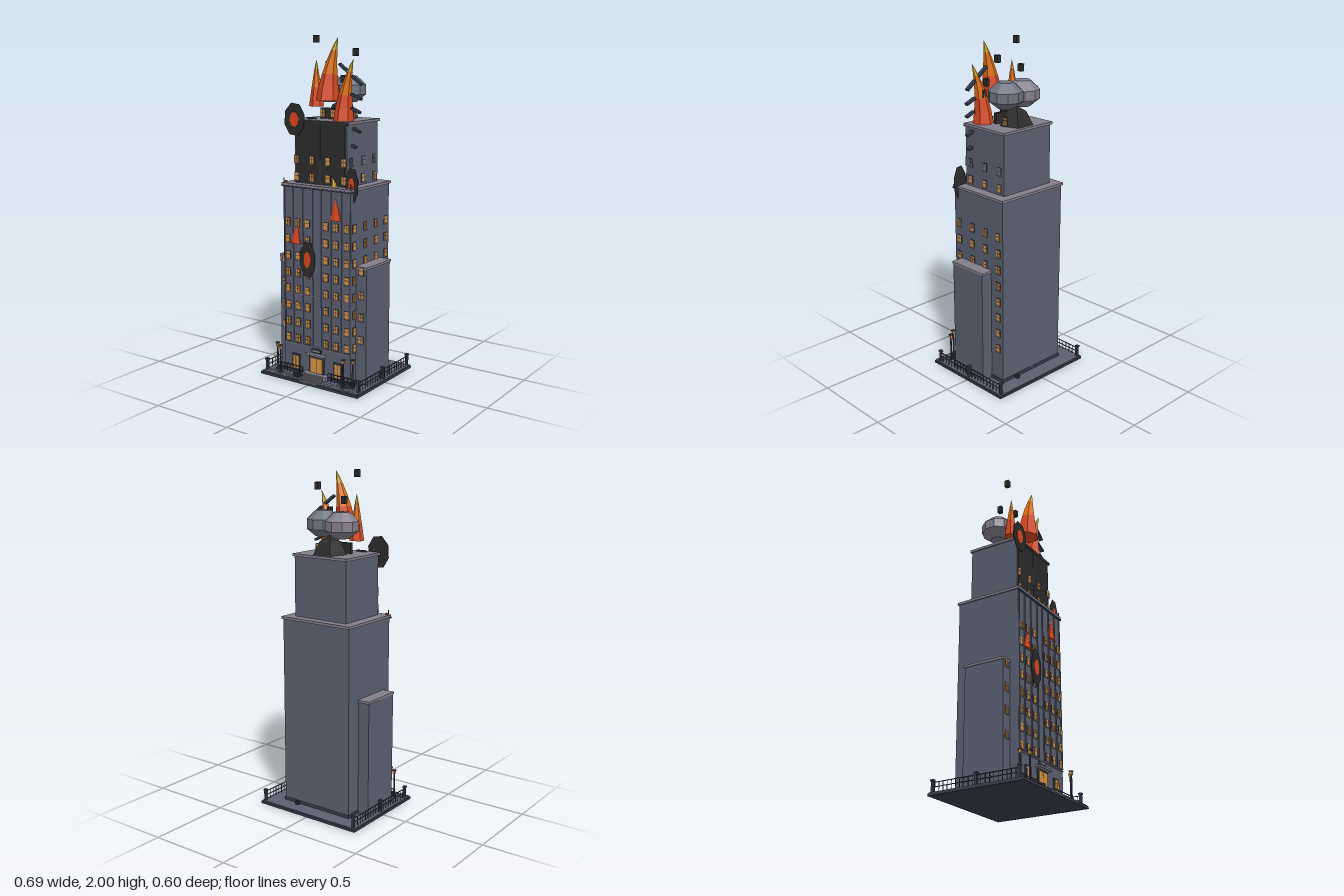
import * as THREE from 'three';

const mat = (name, color) => Object.assign(new THREE.MeshStandardMaterial({ color }), { name });
const M = {
  wall: mat('slate wall', 0x5b5f70),
  trim: mat('pale stone', 0x837e8a),
  char: mat('charred', 0x2b2b2b),
  iron: mat('dark iron', 0x383d4d),
  glow: mat('lit glass', 0xd8923f),
  red: mat('flame red', 0xd9481f),
  orange: mat('flame orange', 0xe0700f),
  yellow: mat('flame yellow', 0xe0b830),
  smoke: mat('grey smoke', 0x6d727e),
};

export function createModel() {
  const root = new THREE.Group();
  const group = (name, parent = root) => {
    const g = new THREE.Group();
    g.name = name;
    parent.add(g);
    return g;
  };
  const mesh = (parent, name, geo, m, x = 0, y = 0, z = 0) => {
    const o = new THREE.Mesh(geo, m);
    o.name = name;
    o.position.set(x, y, z);
    parent.add(o);
    return o;
  };
  const box = (parent, name, m, w, h, d, x, y, z) =>
    mesh(parent, name, new THREE.BoxGeometry(w, h, d), m, x, y, z);
  // box given by its bounds
  const span = (parent, name, m, x0, x1, y0, y1, z0, z1) =>
    box(parent, name, m, x1 - x0, y1 - y0, z1 - z0, (x0 + x1) / 2, (y0 + y1) / 2, (z0 + z1) / 2);
  const facet = (geo) => {
    const g = geo.toNonIndexed();
    g.computeVertexNormals();
    return g;
  };

  // Ground slab and front paving
  const ground = group('ground');
  span(ground, 'slabEdge', M.iron, -0.347, 0.347, 0, 0.014, -0.298, 0.298);
  span(ground, 'slab', M.wall, -0.342, 0.342, 0.01, 0.02, -0.293, 0.293);
  for (const z of [0.24, 0.262, 0.284]) box(ground, 'pavingJoint', M.trim, 0.68, 0.002, 0.0015, 0, 0.02, z);
  for (let i = -13; i <= 13; i++) box(ground, 'pavingJoint', M.trim, 0.0015, 0.002, 0.053, i * 0.025, 0.02, 0.266);

  // Tower blocks with cornices
  const tower = group('tower');
  span(tower, 'plinth', M.iron, -0.24, 0.24, 0.02, 0.04, -0.202, 0.204);
  span(tower, 'mainBlock', M.wall, -0.235, 0.235, 0.02, 1.15, -0.2, 0.2);
  span(tower, 'mainCornice', M.trim, -0.243, 0.243, 1.147, 1.162, -0.209, 0.209);
  span(tower, 'corniceShadow', M.iron, -0.245, 0.245, 1.14, 1.149, 0.2, 0.211);
  span(tower, 'upperBlock', M.wall, -0.182, 0.182, 1.16, 1.515, -0.155, 0.16);
  span(tower, 'upperRoof', M.trim, -0.191, 0.191, 1.513, 1.528, -0.164, 0.164);
  span(tower, 'roofEdge', M.char, -0.191, 0.191, 1.508, 1.526, 0.161, 0.167);
  span(tower, 'charredFront', M.char, -0.172, 0.172, 1.165, 1.51, 0.159, 0.165);
  box(tower, 'frontRib', M.iron, 0.006, 0.345, 0.006, 0, 1.337, 0.164);
  for (const s of [-1, 1]) {
    box(tower, 'wing', M.wall, 0.08, 0.69, 0.25, s * 0.266, 0.36, 0.022);
    box(tower, 'wingCornice', M.trim, 0.085, 0.014, 0.26, s * 0.268, 0.71, 0.02);
    box(tower, 'roofBeacon', M.red, 0.009, 0.012, 0.009, s * 0.228, 1.168, 0.186);
    box(tower, 'roofPin', M.iron, 0.004, 0.03, 0.004, s * 0.232, 1.175, 0.2);
    for (const x of [0.03, 0.1, 0.17, 0.23])
      box(tower, 'pilaster', M.wall, 0.008, 0.93, 0.006, s * x, 0.675, 0.202);
  }
  for (const y of [0.2, 0.51]) box(tower, 'frontBand', M.trim, 0.47, 0.006, 0.007, 0, y, 0.201);

  // Windows: frame, two panes, glazing bar and sill
  const windows = group('windows');
  const addWindow = (x, y, z, side, lit, w = 0.026, h = 0.042) => {
    const g = group('window', windows);
    g.position.set(x, y, z);
    if (side) g.rotation.y = Math.PI / 2;
    box(g, 'frame', M.iron, w + 0.007, h + 0.007, 0.004, 0, 0, 0.001);
    for (const s of [-1, 1])
      box(g, 'pane', lit ? M.glow : M.smoke, w / 2 - 0.001, h, 0.006, s * (w / 4 + 0.0005), 0, 0.0015);
    box(g, 'bar', M.iron, w, 0.003, 0.007, 0, 0.004, 0.0015);
    box(g, 'sill', M.trim, w + 0.008, 0.004, 0.01, 0, -h / 2 - 0.003, 0.002);
  };
  for (let r = 0; r < 8; r++) {
    const y = 0.235 + r * 0.1;
    [-0.205, -0.135, -0.065, 0.065, 0.135, 0.21].forEach((x) => addWindow(x, y, 0.2, false, true));
    for (const z of [0.165, -0.163]) addWindow(0.235, y, z, true, true);
    if (y > 0.72) for (const z of [0.054, -0.057]) addWindow(0.235, y, z, true, true);
  }
  for (const s of [-1, 1])
    for (const y of [0.285, 0.42, 0.55, 0.69]) addWindow(s * 0.272, y, 0.147, false, true, 0.026, 0.04);
  [1.2, 1.3].forEach((y, r) => {
    for (const x of [-0.165, -0.055, 0.055, 0.165]) addWindow(x, y, 0.165, false, true);
    for (const z of [0.12, 0, -0.12]) addWindow(0.182, y, z, true, r === 0);
  });

  // Entrance, side doors and steps
  const entrance = group('entrance');
  const door = (x, w, h) => {
    box(entrance, 'doorFrame', M.iron, w + 0.016, h + 0.014, 0.012, x, 0.05 + h / 2, 0.202);
    for (const s of [-1, 1]) box(entrance, 'doorLeaf', M.glow, w / 2 - 0.004, h, 0.006, x + s * w / 4, 0.048 + h / 2, 0.207);
  };
  door(0, 0.09, 0.088);
  door(-0.15, 0.04, 0.08);
  door(0.15, 0.04, 0.08);
  box(entrance, 'canopy', M.trim, 0.13, 0.01, 0.03, 0, 0.158, 0.212);
  box(entrance, 'signPlate', M.iron, 0.065, 0.022, 0.01, 0, 0.183, 0.205);
  box(entrance, 'signFace', M.trim, 0.05, 0.01, 0.004, 0, 0.183, 0.21);
  span(entrance, 'landing', M.trim, -0.085, 0.085, 0.02, 0.046, 0.2, 0.235);
  for (let i = 0; i < 5; i++)
    span(entrance, 'step', M.trim, -0.064 + i * 0.001, 0.064 - i * 0.001, 0.012, 0.044 - i * 0.006, 0.23, 0.248 + i * 0.0123);

  // Side railings, front railings and street lamps
  const street = group('street');
  for (const s of [-1, 1]) {
    for (const z of [-0.28, -0.003, 0.26]) {
      box(street, 'railPost', M.iron, 0.014, 0.065, 0.014, s * 0.327, 0.05, z);
      box(street, 'postCap', M.iron, 0.02, 0.01, 0.02, s * 0.327, 0.086, z);
    }
    for (const y of [0.05, 0.075]) {
      box(street, 'sideRail', M.iron, 0.004, 0.004, 0.54, s * 0.327, y, -0.01);
      box(street, 'frontRail', M.iron, 0.19, 0.004, 0.004, s * 0.185, y - 0.005, 0.222);
    }
    for (let i = 0; i < 20; i++) box(street, 'sideBaluster', M.iron, 0.003, 0.055, 0.003, s * 0.327, 0.047, -0.265 + i * 0.0265);
    for (let i = 0; i < 9; i++) box(street, 'frontBaluster', M.iron, 0.003, 0.055, 0.003, s * (0.092 + i * 0.023), 0.045, 0.222);
    for (const [x, z] of [[0.27, 0.23], [0.224, 0.26]]) {
      box(street, 'lampFoot', M.iron, 0.02, 0.012, 0.02, s * x, 0.026, z);
      box(street, 'lampPost', M.iron, 0.007, 0.15, 0.007, s * x, 0.095, z);
      box(street, 'lampGlass', M.glow, 0.014, 0.018, 0.014, s * x, 0.178, z);
      box(street, 'lampCap', M.iron, 0.02, 0.006, 0.02, s * x, 0.19, z);
    }
  }

  // Rubble on the ground and blocks in the air
  const debris = group('debris');
  [[-0.118, 0.25, 0.026], [-0.13, 0.235, 0.02], [-0.1, 0.26, 0.024], [-0.094, 0.236, 0.02], [0.194, 0.224, 0.02],
    [0.215, 0.235, 0.014], [0.24, 0.238, 0.022], [0.253, 0.198, 0.018], [0.045, 0.245, 0.015], [-0.262, 0.21, 0.02],
    [0.13, -0.215, 0.02]].forEach(([x, z, s], i) => {
    box(debris, 'rubble', i % 3 ? M.char : M.iron, s, s, s, x, 0.02 + s / 2, z);
  });
  [[-0.108, 1.98, 0.048], [-0.073, 1.835, -0.026], [0.11, 1.907, -0.03], [0.1, 1.76, 0.073], [0.125, 1.7, 0.073]].forEach(([x, y, z]) => {
    box(debris, 'flyingBlock', M.char, 0.025, 0.042, 0.027, x, y, z);
  });
  [[0.115, 1.82, 0.09, 0.08], [0.2, 1.755, 0.09, 0.075], [0.2, 1.665, 0.095, 0.07], [0.2, 1.59, 0.1, 0.06],
    [0.205, 1.48, 0.1, 0.05], [0.195, 1.39, 0.11, 0.03]].forEach(([x, y, z, l], i) => {
    box(debris, 'beam', M.iron, l, 0.013, 0.024, x, y, z).rotation.z = i < 2 ? -0.65 : -0.4;
  });
  box(debris, 'roofBeam', M.char, 0.07, 0.01, 0.006, -0.095, 1.535, 0.115);

  // Ruined roof room
  const room = group('roofRoom');
  mesh(room, 'brokenRoom', facet(new THREE.CylinderGeometry(0.062, 0.1, 0.075, 5)), M.char, 0, 1.565, -0.06);
  mesh(room, 'brokenTop', facet(new THREE.ConeGeometry(0.065, 0.035, 5)), M.char, 0, 1.62, -0.06);
  for (const x of [-0.07, 0, 0.06]) addWindow(x, 1.56, 0.035, false, true);
  span(room, 'roomFront', M.char, -0.09, 0.08, 1.525, 1.59, 0.015, 0.034);
  addWindow(0.085, 1.56, -0.065, true, true);

  // Smoke puffs
  const smoke = group('smoke');
  const puff = [[0, -0.077], [0.045, -0.074], [0.099, -0.03], [0.099, 0.025], [0.045, 0.074], [0, 0.077]]
    .map(([x, y]) => new THREE.Vector2(x, y));
  for (const [x, y, m] of [[-0.07, 1.695, M.trim], [0.06, 1.7, M.smoke]])
    mesh(smoke, 'smokePuff', facet(new THREE.LatheGeometry(puff, 10)), m, x, y, -0.042);

  // Flames: bent tapering tubes in three colour bands
  const fire = group('fire');
  const addFlame = (x, y, z, rx, rz, h, leanX, leanZ, bands) => {
    const g = group('flame', fire);
    g.position.set(x, y, z);
    bands.forEach(([t0, t1, m], i) => {
      const geo = new THREE.CylinderGeometry(1, 1, 1, 6, 2, i > 0);
      const p = geo.attributes.position;
      for (let k = 0; k < p.count; k++) {
        const t = t0 + (p.getY(k) + 0.5) * (t1 - t0);
        const r = Math.pow(Math.max(0, 1 - t), 0.85);
        p.setXYZ(k, p.getX(k) * r * rx + leanX * t * t, t * h, p.getZ(k) * r * rz + leanZ * t * t);
      }
      mesh(g, 'flameBand', facet(geo), m);
    });
  };
  const full = [[0, 0.42, M.red], [0.42, 0.8, M.orange], [0.8, 1, M.yellow]];
  addFlame(0.02, 1.64, 0.115, 0.07, 0.067, 0.35, 0.065, -0.005, full);
  addFlame(0.11, 1.528, 0.09, 0.06, 0.06, 0.345, 0.072, 0.01, full);
  addFlame(-0.095, 1.6, 0.066, 0.045, 0.038, 0.265, 0.002, 0.002, full);
  addFlame(0.135, 0.975, 0.2, 0.04, 0.018, 0.13, -0.005, 0, [[0, 1, M.red]]);
  addFlame(-0.147, 0.81, 0.2, 0.04, 0.018, 0.115, 0.012, 0, [[0, 1, M.red]]);
  addFlame(0.105, 1.162, 0.175, 0.018, 0.014, 0.06, -0.02, 0, [[0, 1, M.yellow]]);

  // Scorch marks with burning centres
  const scorch = group('scorchMarks');
  const disc = (name, m, rx, ry, t, x, y, z) => {
    const geo = new THREE.CylinderGeometry(1, 1, t, 8).rotateX(Math.PI / 2).rotateZ(0.3).scale(rx, ry, 1);
    mesh(scorch, name, geo, m, x, y, z);
  };
  for (const [x, y, z, rx, ry] of [[-0.173, 1.528, 0.174, 0.074, 0.098], [-0.06, 0.725, 0.209, 0.056, 0.112], [0.222, 1.18, 0.173, 0.045, 0.102]]) {
    disc('scorchRim', M.char, rx, ry, 0.004, x, y, z);
    disc('scorchCore', M.red, rx * 0.45, ry * 0.45, 0.004, x, y, z + 0.002);
  }
  return root;
}
